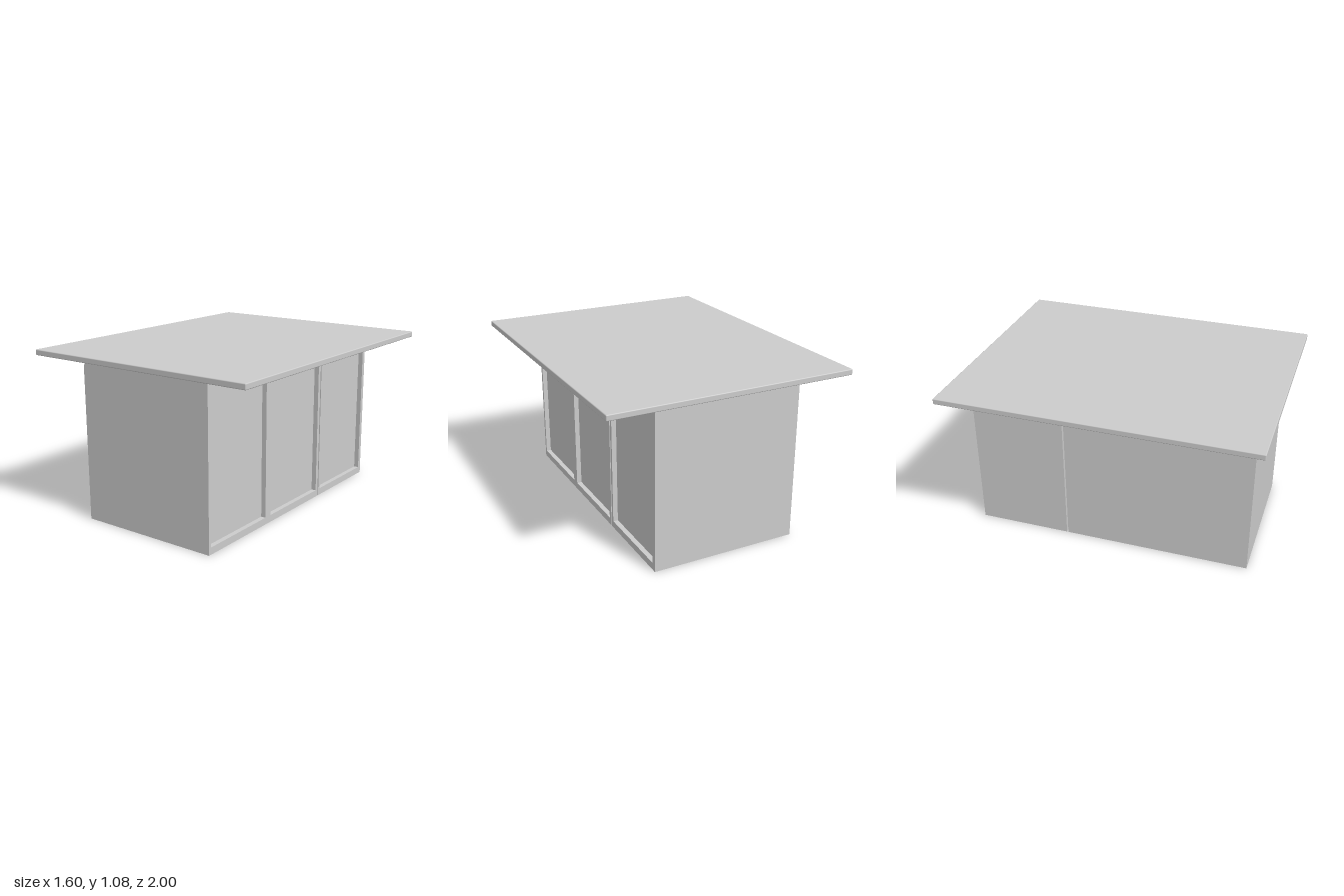
import * as THREE from 'three';
import { mergeGeometries } from 'three/addons/utils/BufferGeometryUtils.js';
import { RoundedBoxGeometry } from 'three/addons/geometries/RoundedBoxGeometry.js';

const solid = new THREE.MeshStandardMaterial({ color: 0xcccccc });
const sheet = new THREE.MeshStandardMaterial({ color: 0xcccccc, side: THREE.DoubleSide });

// Box made only of the listed sides; size limits are [min, max] pairs
function openBox([x0, x1], [y0, y1], [z0, z1], sides) {
  const w = x1 - x0, h = y1 - y0, d = z1 - z0;
  const make = {
    left: () => new THREE.PlaneGeometry(d, h).rotateY(Math.PI / 2).translate(w / 2, 0, 0),
    right: () => new THREE.PlaneGeometry(d, h).rotateY(-Math.PI / 2).translate(-w / 2, 0, 0),
    front: () => new THREE.PlaneGeometry(w, h).translate(0, 0, d / 2),
    back: () => new THREE.PlaneGeometry(w, h).rotateY(Math.PI).translate(0, 0, -d / 2),
    top: () => new THREE.PlaneGeometry(w, d).rotateX(-Math.PI / 2).translate(0, h / 2, 0),
    bottom: () => new THREE.PlaneGeometry(w, d).rotateX(Math.PI / 2).translate(0, -h / 2, 0),
  };
  return mergeGeometries(sides.map((s) => make[s]()))
    .translate((x0 + x1) / 2, (y0 + y1) / 2, (z0 + z1) / 2);
}

function part(parent, name, geometry, material = sheet) {
  const mesh = new THREE.Mesh(geometry, material);
  mesh.name = name;
  parent.add(mesh);
}

const X = 0.477, BODY = 1.004, TOP = 1.03;
const DOOR_Y = [0.045, 0.997], INSET = 0.032;

// Open-bottomed cabinet from z0 to z1 with recessed door panels on its +x side
function cabinet(name, z0, z1, doors, partitions = []) {
  const group = new THREE.Group();
  group.name = name;
  part(group, 'cabinetShell', openBox([-X, X], [0, BODY], [z0, z1], ['right', 'front', 'back']));
  part(group, 'topRiser', openBox([-X + 0.008, X], [BODY, TOP], [z0, z1], ['right', 'front', 'back', 'top']));

  // Face frame, drawn in (-z, y) and turned to face +x
  const frame = new THREE.Shape();
  frame.moveTo(-z1, 0).lineTo(-z0, 0).lineTo(-z0, TOP).lineTo(-z1, TOP).closePath();
  for (const [a, b] of doors) {
    const hole = new THREE.Path();
    hole.moveTo(-b, DOOR_Y[0]).lineTo(-b, DOOR_Y[1]).lineTo(-a, DOOR_Y[1]).lineTo(-a, DOOR_Y[0]).closePath();
    frame.holes.push(hole);
  }
  part(group, 'faceFrame', new THREE.ShapeGeometry(frame).rotateY(Math.PI / 2).translate(X, 0, 0));

  // Recessed panels with their reveals
  for (const door of doors) {
    part(group, 'recessedPanel', openBox([X - INSET, X], DOOR_Y, door, ['right', 'front', 'back', 'top', 'bottom']));
  }

  // Inner dividing walls
  for (const z of partitions) {
    part(group, 'partition', new THREE.PlaneGeometry(2 * X - INSET, BODY).translate(-INSET / 2, BODY / 2, z));
  }
  return group;
}

export function createModel() {
  const model = new THREE.Group();
  model.name = 'kitchenIsland';
  part(model, 'countertop', new RoundedBoxGeometry(1.597, 0.037, 2, 2, 0.006).translate(0, 1.0575, 0), solid);
  model.add(
    cabinet('doubleCabinet', -0.305, 0.905, [[0.33, 0.885], [-0.28, 0.275]], [0.3]),
    cabinet('singleCabinet', -0.92, -0.315, [[-0.89, -0.335]]),
  );
  return model;
}
